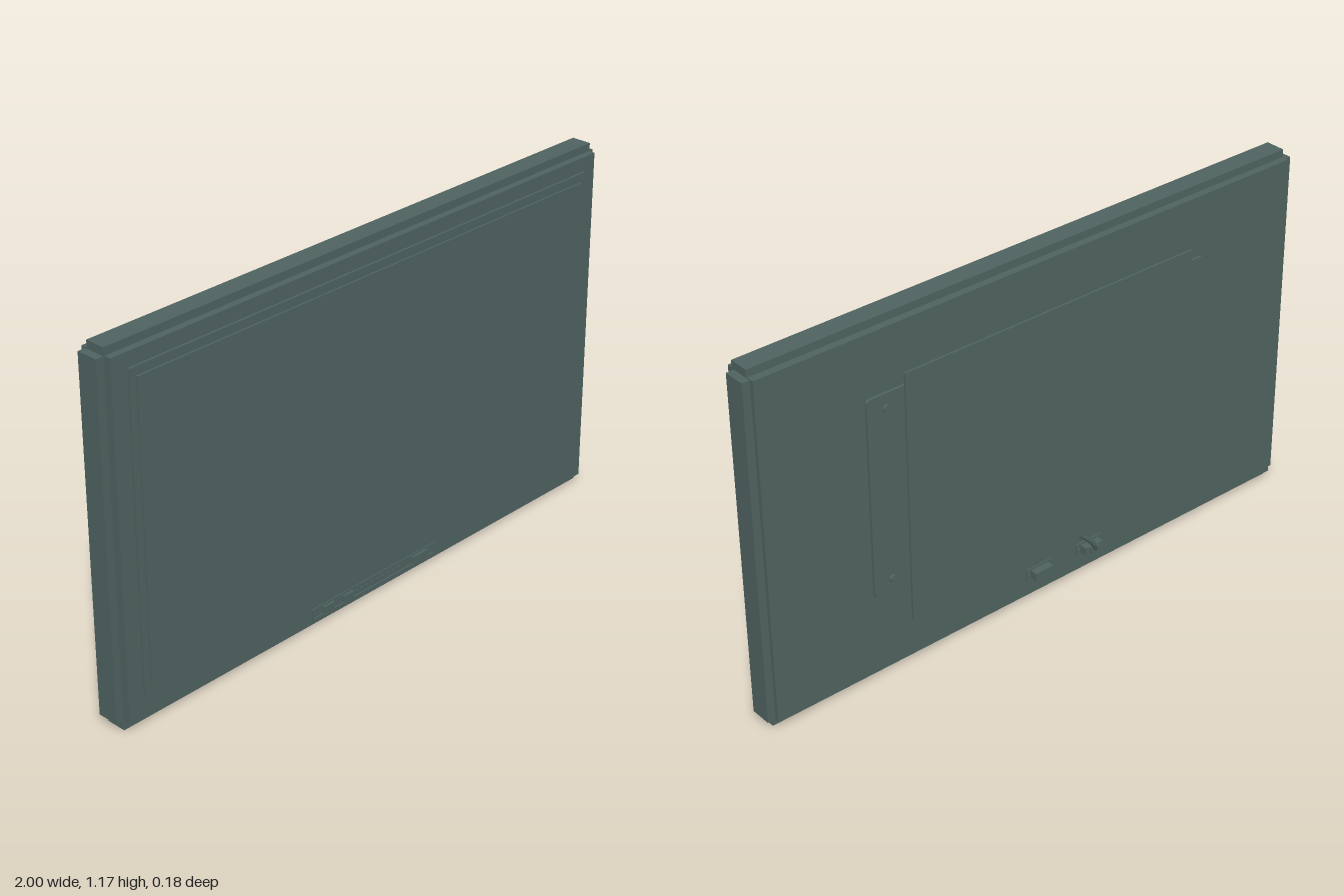
import * as THREE from 'three';

export function createModel() {
  const group = new THREE.Group();
  group.name = 'wallDisplay';
  const material = new THREE.MeshStandardMaterial({ color: 0x4f6360 });

  const add = (name, geometry) => {
    const mesh = new THREE.Mesh(geometry, material);
    mesh.name = name;
    group.add(mesh);
    return mesh;
  };
  // Box given by its limits on each axis
  const box = (name, [x0, x1], [y0, y1], [z0, z1]) => {
    const mesh = add(name, new THREE.BoxGeometry(x1 - x0, y1 - y0, z1 - z0));
    mesh.position.set((x0 + x1) / 2, (y0 + y1) / 2, (z0 + z1) / 2);
    return mesh;
  };
  // Upright disc facing front and back
  const disc = (name, x, y, z, radius, depth, sides = 20) => {
    const mesh = add(name, new THREE.CylinderGeometry(radius, radius, depth, sides));
    mesh.rotation.x = Math.PI / 2;
    mesh.position.set(x, y, z);
    return mesh;
  };

  // Housing with a raised band around its four edges
  box('housing', [-0.975, 0.975], [0.025, 1.143], [-0.034, 0.077]);
  box('topBand', [-0.978, 0.978], [1.143, 1.168], [-0.01, 0.055]);
  box('bottomBand', [-0.978, 0.978], [0, 0.025], [-0.01, 0.055]);
  for (const side of [-1, 1]) {
    const x = side < 0 ? [-1, -0.975] : [0.975, 1];
    box('sideBand', x, [0.028, 1.14], [-0.02, 0.05]);
  }

  // Bezel and screen, each a step further forward
  box('bezel', [-0.922, 0.922], [0.105, 1.097], [0.077, 0.084]);
  box('screen', [-0.9, 0.9], [0.13, 1.07], [0.084, 0.09]);

  // Control strip: a thin tray with upturned ends
  box('controlStrip', [-0.267, 0.267], [0.037, 0.073], [0.077, 0.08]);
  box('stripLip', [-0.267, 0.267], [0.037, 0.042], [0.08, 0.084]);
  for (const x of [-0.267, 0.263]) box('stripEnd', [x, x + 0.004], [0.037, 0.073], [0.08, 0.084]);
  for (const x of [-0.202, -0.12]) {
    box('controlButton', [x - 0.022, x + 0.022], [0.045, 0.066], [0.08, 0.088]);
  }
  box('sensorWindow', [0.16, 0.23], [0.045, 0.067], [0.08, 0.088]);
  for (let i = 0; i < 9; i++) disc('indicator', -0.08 + i * 0.023, 0.055, 0.081, 0.005, 0.004, 10);

  // Wide rear mounting plate with softened corners
  const w = 0.628, y0 = 0.29, y1 = 0.945, r = 0.014;
  const outline = new THREE.Shape();
  outline.moveTo(-w + r, y0);
  outline.lineTo(w - r, y0);
  outline.quadraticCurveTo(w, y0, w, y0 + r);
  outline.lineTo(w, y1 - r);
  outline.quadraticCurveTo(w, y1, w - r, y1);
  outline.lineTo(-w + r, y1);
  outline.quadraticCurveTo(-w, y1, -w, y1 - r);
  outline.lineTo(-w, y0 + r);
  outline.quadraticCurveTo(-w, y0, -w + r, y0);
  const plate = new THREE.ExtrudeGeometry(outline, { depth: 0.009, bevelEnabled: false, curveSegments: 5 });
  add('mountingPlate', plate).position.z = -0.043;

  // Rails, plate screws and panel clips, mirrored left and right
  for (const s of [-1, 1]) {
    box('mountingRail', [s * 0.384 - 0.034, s * 0.384 + 0.034], [0.235, 0.965], [-0.081, -0.043]);
    for (const y of [0.335, 0.9]) {
      disc('plateScrew', s * 0.565, y, -0.0475, 0.012, 0.009);
      disc('screwSocket', s * 0.565, y, -0.053, 0.006, 0.003, 6);
    }
    for (const y of [0.23, 0.965]) {
      box('panelClip', [s * 0.487 - 0.018, s * 0.487 + 0.018], [y - 0.021, y + 0.021], [-0.081, -0.066]);
    }
  }

  // Thin rear panel
  box('rearPanel', [-0.53, 0.53], [0.19, 1.015], [-0.088, -0.081]);

  // Row of vent slots along the lower back
  for (let i = 0; i < 10; i++) {
    const x = -0.32 + i * 0.0711;
    box('ventSlot', [x - 0.023, x + 0.023], [0.163, 0.178], [-0.041, -0.034]);
  }

  // Two sockets, each a frame around a stepped block
  for (const x of [-0.187, 0.012]) {
    box('socketPlate', [x - 0.05, x + 0.05], [0.076, 0.118], [-0.038, -0.034]);
    box('socketBlock', [x - 0.034, x + 0.034], [0.083, 0.111], [-0.063, -0.038]);
    for (const s of [-1, 1]) {
      disc('socketScrew', x + s * 0.042, 0.097, -0.04, 0.005, 0.004, 8);
    }
  }

  // Plug and the cable running up behind the panel
  box('plug', [-0.205, -0.169], [0.088, 0.108], [-0.071, -0.063]);
  const path = new THREE.CatmullRomCurve3([
    new THREE.Vector3(-0.187, 0.098, -0.066),
    new THREE.Vector3(-0.178, 0.118, -0.073),
    new THREE.Vector3(-0.155, 0.148, -0.075),
    new THREE.Vector3(-0.11, 0.195, -0.072),
    new THREE.Vector3(-0.07, 0.248, -0.07),
  ]);
  add('cable', new THREE.TubeGeometry(path, 24, 0.008, 10));
  const end = disc('cableEnd', -0.07, 0.248, -0.07, 0.009, 0.016);
  end.rotation.set(0, 0, -0.65);

  return group;
}
